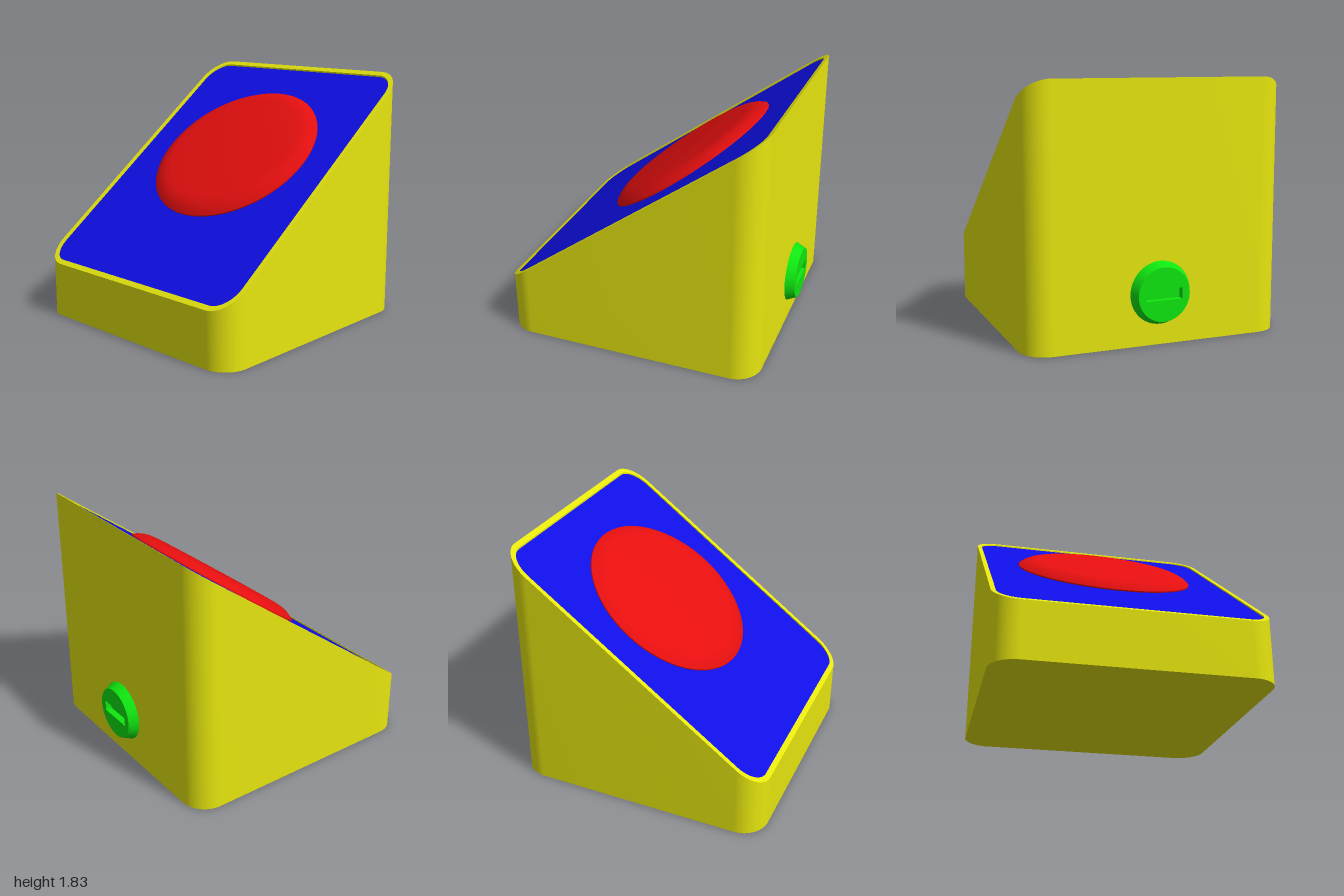
import * as THREE from 'three';
import { toCreasedNormals } from 'three/addons/utils/BufferGeometryUtils.js';

const material = (name, color) => Object.assign(new THREE.MeshStandardMaterial({ color }), { name });

const BACK = -0.93, FRONT = 1, HALF_W = 0.96;
const LOW = 0.41, HIGH = 1.83, RECESS = 0.012, RIM = 0.034;
const SLOPE = (HIGH - LOW) / (FRONT - BACK);
const slopeY = (z) => LOW + (FRONT - z) * SLOPE;

// Rounded footprint, inset from the outer wall (shape y is -z)
function footprint(inset, r, Type = THREE.Shape) {
  const x = HALF_W - inset, y0 = -FRONT + inset, y1 = -BACK - inset;
  const s = new Type();
  s.moveTo(-x + r, y0);
  s.lineTo(x - r, y0);
  s.absarc(x - r, y0 + r, r, -Math.PI / 2, 0);
  s.lineTo(x, y1 - r);
  s.absarc(x - r, y1 - r, r, 0, Math.PI / 2);
  s.lineTo(-x + r, y1);
  s.absarc(-x + r, y1 - r, r, Math.PI / 2, Math.PI);
  s.lineTo(-x, y0 + r);
  s.absarc(-x + r, y0 + r, r, Math.PI, Math.PI * 1.5);
  return s;
}

// Upright prism whose bottom and top heights depend on z
function prism(shape, bottom, top) {
  const g = new THREE.ExtrudeGeometry(shape, { depth: 1, bevelEnabled: false, curveSegments: 14 });
  g.rotateX(-Math.PI / 2);
  const p = g.attributes.position;
  for (let i = 0; i < p.count; i++) {
    const z = p.getZ(i);
    p.setY(i, p.getY(i) > 0.5 ? top(z) : bottom(z));
  }
  return toCreasedNormals(g, 0.5);
}

export function createModel() {
  const yellow = material('yellow', 0xe6e60f);
  const blue = material('blue', 0x0f0fe6);
  const red = material('red', 0xe60f0f);
  const green = material('green', 0x0fe60f);

  const model = new THREE.Group();
  model.name = 'buttonBox';
  const add = (name, geometry, mat, parent = model) => {
    const m = new THREE.Mesh(geometry, mat);
    m.name = name;
    parent.add(m);
    return m;
  };

  // Wedge housing: wall with a sloping rim, and a floor
  const wall = footprint(0, 0.19);
  wall.holes.push(footprint(RIM, 0.156, THREE.Path));
  add('housingWall', prism(wall, () => 0, slopeY), yellow);
  add('housingFloor', prism(footprint(RIM, 0.156), () => 0, () => 0.03), yellow);

  // Slightly sunken sloping panel
  add('panel', prism(footprint(RIM, 0.156), (z) => slopeY(z) - 0.05, (z) => slopeY(z) - RECESS), blue);

  // Big round button lying on the slope, with a rounded shoulder
  const profile = [[0.675, -0.015], [0.675, 0], [0.645, 0.022], [0.605, 0.041], [0.565, 0.052], [0.52, 0.057], [0, 0.057]]
    .map(([x, y]) => new THREE.Vector2(x, y));
  const buttonGeo = toCreasedNormals(new THREE.LatheGeometry(profile, 64), 0.5);
  const button = add('button', buttonGeo, red);
  button.position.set(0, slopeY(-0.11), -0.11);
  button.rotation.x = Math.atan(SLOPE);

  // Slotted plug on the back
  const plug = new THREE.Group();
  plug.name = 'backPlug';
  plug.position.set(0, 0.367, BACK);
  plug.rotation.y = Math.PI;
  model.add(plug);
  const rim = new THREE.CylinderGeometry(0.19, 0.222, 0.07, 48, 1, true);
  rim.rotateX(Math.PI / 2).translate(0, 0, 0.035);
  add('plugEdge', rim, green, plug);
  const face = new THREE.Shape().absarc(0, 0, 0.19, 0, Math.PI * 2);
  const w = 0.135, h = 0.04;
  face.holes.push(new THREE.Path([[-w, -h], [-w, h], [w, h], [w, -h]].map(([x, y]) => new THREE.Vector2(x, y))));
  const faceGeo = new THREE.ExtrudeGeometry(face, { depth: 0.07, bevelEnabled: false, curveSegments: 48 });
  add('plugFace', toCreasedNormals(faceGeo, 0.5), green, plug);
  const slotFloor = new THREE.BoxGeometry(w * 2, h * 2, 0.02);
  slotFloor.translate(0, 0, 0.012);
  add('plugSlotFloor', slotFloor, green, plug);

  return model;
}
